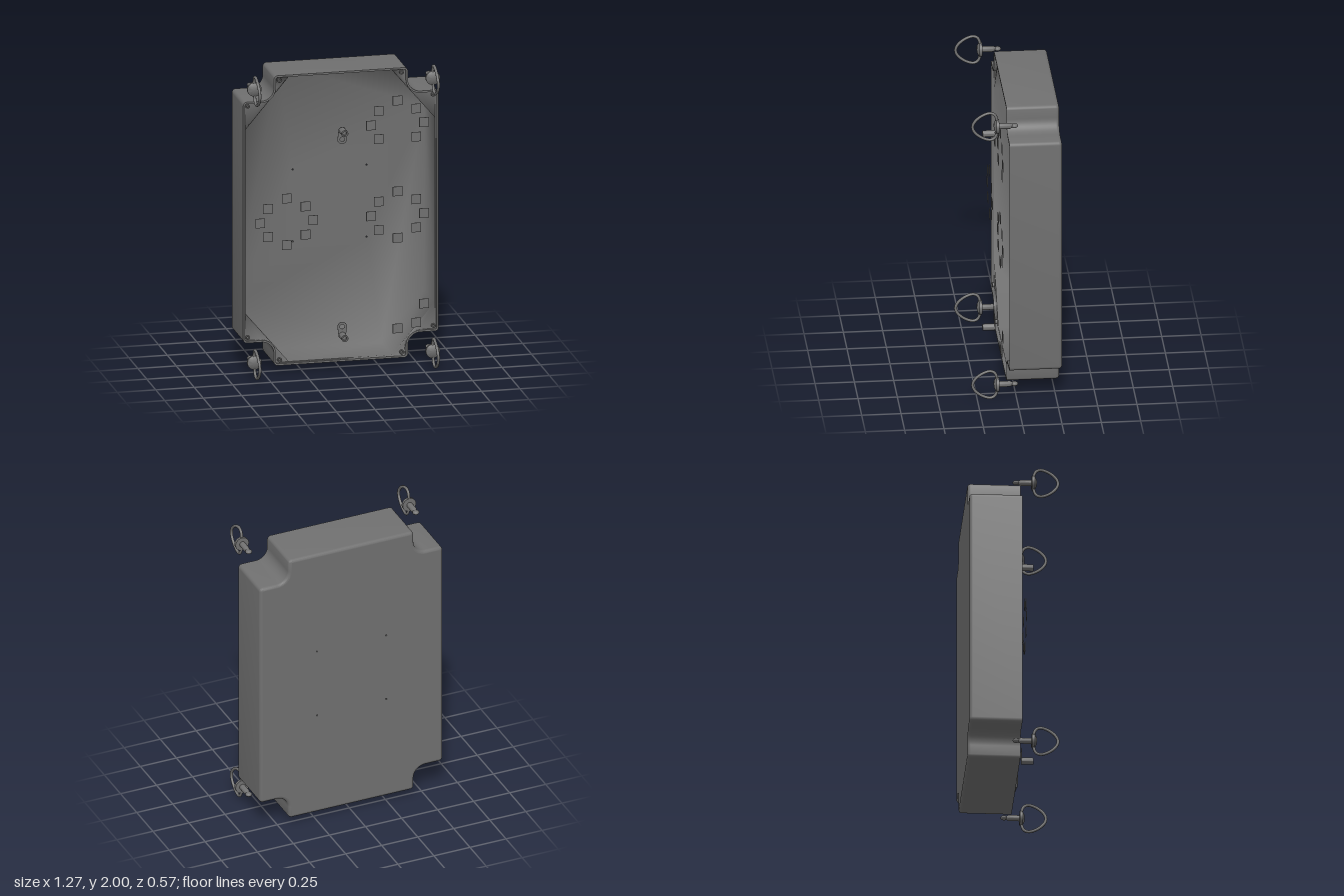
import * as THREE from 'three';
import { mergeGeometries, mergeVertices, toCreasedNormals } from 'three/addons/utils/BufferGeometryUtils.js';

const CY = 1.003; // height of the housing centre
const FRONT = 0.05, BACK = -0.285, FLOOR = -0.265, LEDGE = 0.03, WALL = 0.012, PLATE = 0.083;
const darkGrey = new THREE.MeshStandardMaterial({ color: 0x707070 });

function add(parent, name, geometry, x = 0, y = 0, z = 0) {
  const mesh = new THREE.Mesh(geometry, darkGrey);
  mesh.name = name;
  mesh.position.set(x, y, z);
  parent.add(mesh);
  return mesh;
}

// Points along an arc, angles in degrees
function arc(cx, cy, r, a0, a1, n = 8) {
  return Array.from({ length: n + 1 }, (_, i) => {
    const a = THREE.MathUtils.degToRad(a0 + (a1 - a0) * i / n);
    return new THREE.Vector2(cx + r * Math.cos(a), cy + r * Math.sin(a));
  });
}

// Mirror one quarter (ordered counter-clockwise) into a closed loop
function fourfold(q) {
  const flip = (sx, sy) => q.map(p => new THREE.Vector2(p.x * sx, p.y * sy));
  return [...q, ...flip(-1, 1).reverse(), ...flip(-1, -1), ...flip(1, -1).reverse()];
}

// Rectangle with a rounded notch at each corner
function outline(inset) {
  const W = 0.635, H = 0.955, nx = 0.435, ny = 0.794, r = 0.025, R = 0.08;
  return fourfold([
    ...arc(W - r, ny - r, r - inset, 0, 90, 6),
    ...arc(nx + R, ny + R, R + inset, 270, 180, 10),
    ...arc(nx - r, H - r, r - inset, 0, 90, 6),
  ]);
}

// Skin between loops of equal point count; each ring is [points, z]
function skin(rings) {
  const pos = [], index = [], n = rings[0][0].length;
  for (const [pts, z] of rings) for (const p of pts) pos.push(p.x, p.y, z);
  for (let k = 0; k < rings.length - 1; k++) {
    for (let i = 0; i < n; i++) {
      const a = k * n + i, b = k * n + (i + 1) % n;
      index.push(a, b, b + n, a, b + n, a + n);
    }
  }
  const g = new THREE.BufferGeometry();
  g.setAttribute('position', new THREE.Float32BufferAttribute(pos, 3));
  g.setIndex(index);
  return g;
}

function outlineShape(points, holes = []) {
  const shape = new THREE.Shape(points);
  holes.forEach(h => shape.holes.push(new THREE.Path(h)));
  return shape;
}

function flat(points, holes, z) {
  return new THREE.ShapeGeometry(outlineShape(points, holes)).translate(0, 0, z);
}

// Weld several surfaces into one with soft shading across their seams
function softWeld(parts) {
  for (const g of parts) {
    g.deleteAttribute('normal');
    g.deleteAttribute('uv');
  }
  const g = mergeVertices(mergeGeometries(parts));
  g.computeVertexNormals();
  return g;
}

// Turned part whose axis runs along z; profile is [radius, z]
function turned(profile, sides = 24) {
  const pts = profile.map(p => new THREE.Vector2(...p));
  const g = new THREE.LatheGeometry(pts, sides).rotateX(Math.PI / 2);
  return toCreasedNormals(g, 0.6);
}

function makeHousing() {
  const housing = new THREE.Group();
  housing.name = 'housing';
  housing.position.y = CY;

  // Outer wall with a rounded back edge and a thin front rim
  const rings = [];
  const r = 0.02;
  for (let i = 0; i <= 5; i++) {
    const a = i / 5 * Math.PI / 2;
    rings.push([outline(r * (1 - Math.sin(a))), BACK + r * (1 - Math.cos(a))]);
  }
  rings.push([outline(0), FRONT], [outline(WALL), FRONT]);
  add(housing, 'outerWall', toCreasedNormals(skin(rings), 0.6));

  // Softly shaded lining: rim, corner ledges, eight-sided pocket and floor
  const octagon = fourfold([new THREE.Vector2(0.615, 0.607), new THREE.Vector2(0.335, 0.938)]);
  const pins = [[0.24, 0.237], [-0.24, 0.237], [-0.24, -0.237], [0.24, -0.237]]
    .map(([x, y]) => arc(x, y, 0.005, 0, 315, 7));
  add(housing, 'lining', softWeld([
    skin([[outline(WALL), FRONT], [outline(WALL), LEDGE]]),
    flat(outline(WALL), [octagon], LEDGE),
    skin([[octagon, LEDGE], [octagon, FLOOR]]),
    flat(octagon, pins, FLOOR),
  ]));

  // Back panel with four pinholes
  add(housing, 'backPanel', flat(outline(r), pins, -BACK).rotateY(Math.PI));
  for (const pin of pins) add(housing, 'pinhole', toCreasedNormals(skin([[pin, FLOOR], [pin, BACK]]), 1));

  // Small hollow bosses beside each notch
  const boss = turned([[0.014, 0], [0.014, 0.014], [0.007, 0.014], [0.007, 0.001], [0, 0.001]], 16);
  for (const sx of [1, -1]) for (const sy of [1, -1]) {
    for (const [x, y] of [[0.603, 0.762], [0.397, 0.922]]) {
      add(housing, 'cornerBoss', boss, sx * x, sy * y, LEDGE);
    }
  }
  return housing;
}

// Quick-turn fastener with a wire loop for gripping
function makeFastener(x, y) {
  const fastener = new THREE.Group();
  fastener.name = 'fastener';
  fastener.position.set(x, y, 0);
  add(fastener, 'shaft', turned([[0, 0.01], [0.012, 0.012], [0.014, 0.032], [0.019, 0.042], [0.019, 0.115]], 20));
  // Flattened locking tip, wider than it is tall
  add(fastener, 'lockingTip', new THREE.SphereGeometry(1, 20, 14).scale(0.022, 0.014, 0.022), 0, 0, 0.013);
  add(fastener, 'head', turned([
    [0, 0.11], [0.046, 0.112], [0.046, 0.13], [0.038, 0.135], [0.022, 0.143], [0, 0.145],
  ]));
  const loop = [[0.128, 0], [0.126, 0.05], [0.14, 0.08], [0.168, 0.091], [0.215, 0.077],
    [0.258, 0.045], [0.277, 0.014]];
  const path = [...loop, ...loop.slice(1).reverse().map(([z, h]) => [z, -h])]
    .map(([z, h]) => new THREE.Vector3(0, h, z));
  const curve = new THREE.CatmullRomCurve3(path, true);
  const grip = add(fastener, 'gripLoop', new THREE.TubeGeometry(curve, 72, 0.0095, 10, true));
  grip.rotation.z = 0.035;
  return fastener;
}

// Hollow peg standing on a rounded slot plate; the slot hangs below unless turned
function makePeg(y, turn) {
  const peg = new THREE.Group();
  peg.name = 'hangingPeg';
  peg.position.set(0, y, PLATE);
  add(peg, 'peg', turned([[0, 0], [0.022, 0], [0.022, 0.079], [0.013, 0.079], [0.013, 0.06], [0, 0.06]]));
  const slot = [...arc(0, 0, 0.024, 0, 180), ...arc(0, -0.058, 0.031, 180, 360, 14)];
  const hole = arc(0, -0.058, 0.015, 0, 345, 23);
  const plate = new THREE.ExtrudeGeometry(outlineShape(slot, [hole]), { depth: 0.003, bevelEnabled: false });
  add(peg, 'slotPlate', plate).rotation.z = turn;
  return peg;
}

export function createModel() {
  const model = new THREE.Group();
  model.name = 'notchedEnclosure';
  model.add(makeHousing());

  for (const x of [0.58, -0.58]) for (const y of [0.1, 1.9]) model.add(makeFastener(x, y));
  model.add(makePeg(1.58, 0), makePeg(0.23, Math.PI));

  // Rings of thin square pads; each ring lists the slots it fills
  const slots = [[0.172, 0], [0.122, 0.093], [0, 0.153], [-0.122, 0.093],
    [-0.172, 0], [-0.122, -0.093], [0, -0.153], [0.122, -0.093]];
  const all = [0, 1, 2, 3, 4, 5, 6, 7];
  const padRings = [
    [-0.36, 1.002, all],
    [0.36, 1.002, all],
    [0.36, 1.6, [0, 1, 2, 3, 4, 5, 7]],
    [0.36, 0.405, [0, 6, 7]],
  ];
  const pad = new THREE.BoxGeometry(0.062, 0.062, 0.003);
  for (const [cx, cy, used] of padRings) {
    for (const i of used) {
      const dy = cy < 0.5 && i === 7 ? -0.122 : slots[i][1];
      add(model, 'squarePad', pad, cx + slots[i][0], cy + dy, PLATE);
    }
  }
  return model;
}
